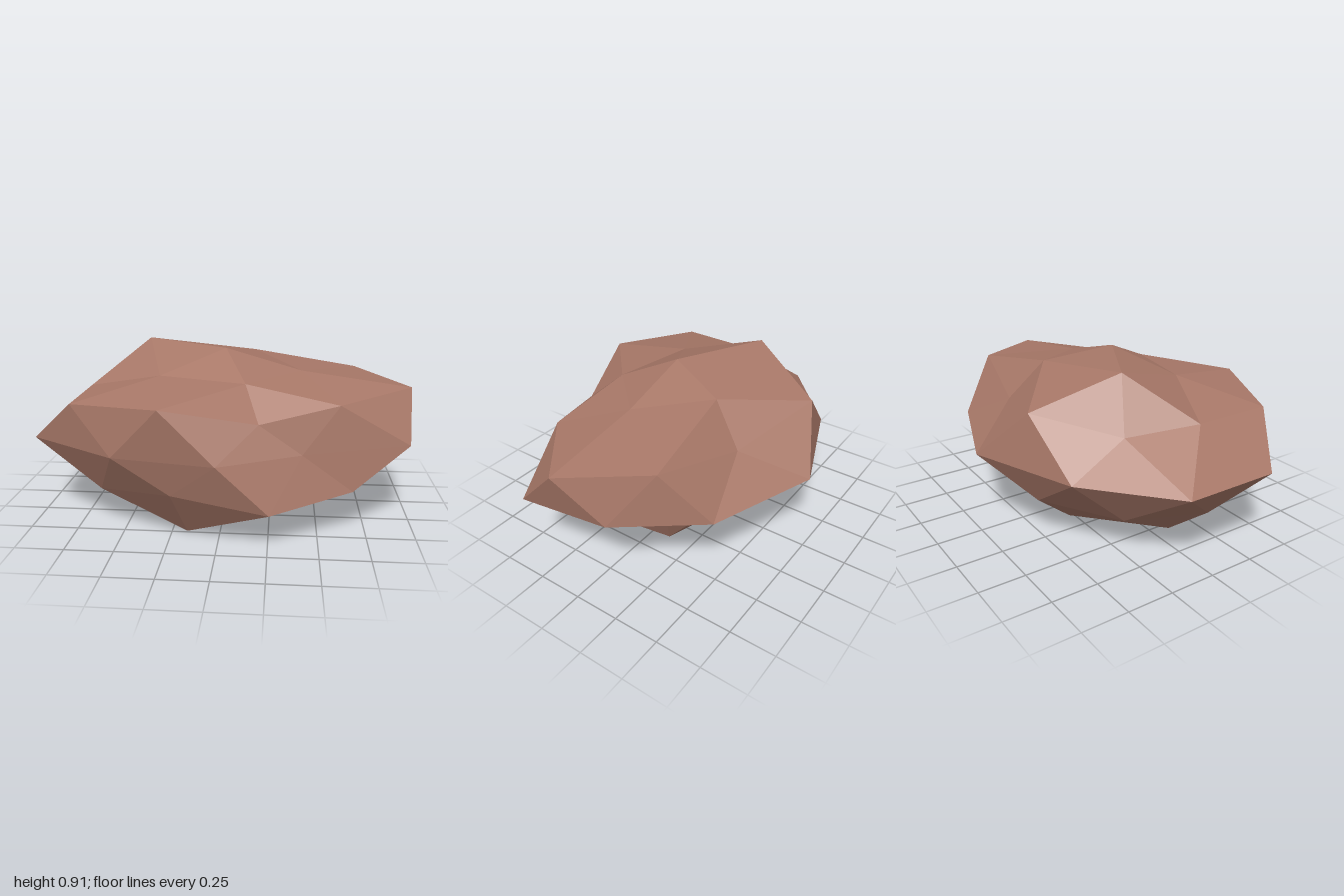
import * as THREE from 'three';
import { ConvexGeometry } from 'three/addons/geometries/ConvexGeometry.js';

// Latitude rings of a faceted ball: height, ring radius, first angle (degrees),
// and how far each point is pushed out, going round from +x towards +z.
const RINGS = [
  [1, 0, 0, [0.9]],
  [0.8507, 0.5257, 0, [0.78, 0.75, 0.78, 1.08, 0.9]],
  [0.5257, 0.8507, 36, [0.87, 1.02, 0.88, 1.08, 1.06]],
  [0.4472, 0.8944, 0, [1.118, 0.71, 1.035, 0.83, 0.8]],
  [0, 1, 18, [1.02, 0.7, 0.834, 0.884, 1.05, 1.05, 0.986, 1.076, 1.0, 0.946]],
  [-0.4472, 0.8944, 36, [0.93, 0.84, 0.94, 0.95, 0.714]],
  [-0.5257, 0.8507, 0, [0.76, 0.97, 0.91, 0.92, 0.73]],
  [-0.8507, 0.5257, 36, [0.9, 1.04, 1.045, 1.0, 0.955]],
  [-1, 0, 0, [0.9]],
];

function createBoulderGeometry() {
  const points = [];
  for (const [y, ringRadius, start, pushes] of RINGS) {
    pushes.forEach((push, i) => {
      const a = THREE.MathUtils.degToRad(start + (360 / pushes.length) * i);
      const dir = new THREE.Vector3(Math.cos(a) * ringRadius, y, Math.sin(a) * ringRadius);
      points.push({ dir, push });
    });
  }

  // The hull of the even ball gives the facets; each corner is then pushed in or out.
  const geometry = new ConvexGeometry(points.map((p) => p.dir));
  const pos = geometry.attributes.position;
  const v = new THREE.Vector3();
  for (let i = 0; i < pos.count; i++) {
    v.fromBufferAttribute(pos, i);
    const nearest = points.reduce((a, b) => (a.dir.distanceToSquared(v) < b.dir.distanceToSquared(v) ? a : b));
    v.copy(nearest.dir).multiplyScalar(nearest.push);
    pos.setXYZ(i, v.x, v.y * 0.5 + 0.45, v.z * 0.785 + 0.095);
  }
  geometry.computeVertexNormals();
  return geometry;
}

export function createModel() {
  const group = new THREE.Group();
  group.name = 'rock';

  const stone = new THREE.MeshStandardMaterial({ color: 0xa87868 });
  stone.name = 'reddish brown stone';
  stone.flatShading = true;

  const boulder = new THREE.Mesh(createBoulderGeometry(), stone);
  boulder.name = 'boulder';
  group.add(boulder);
  return group;
}
